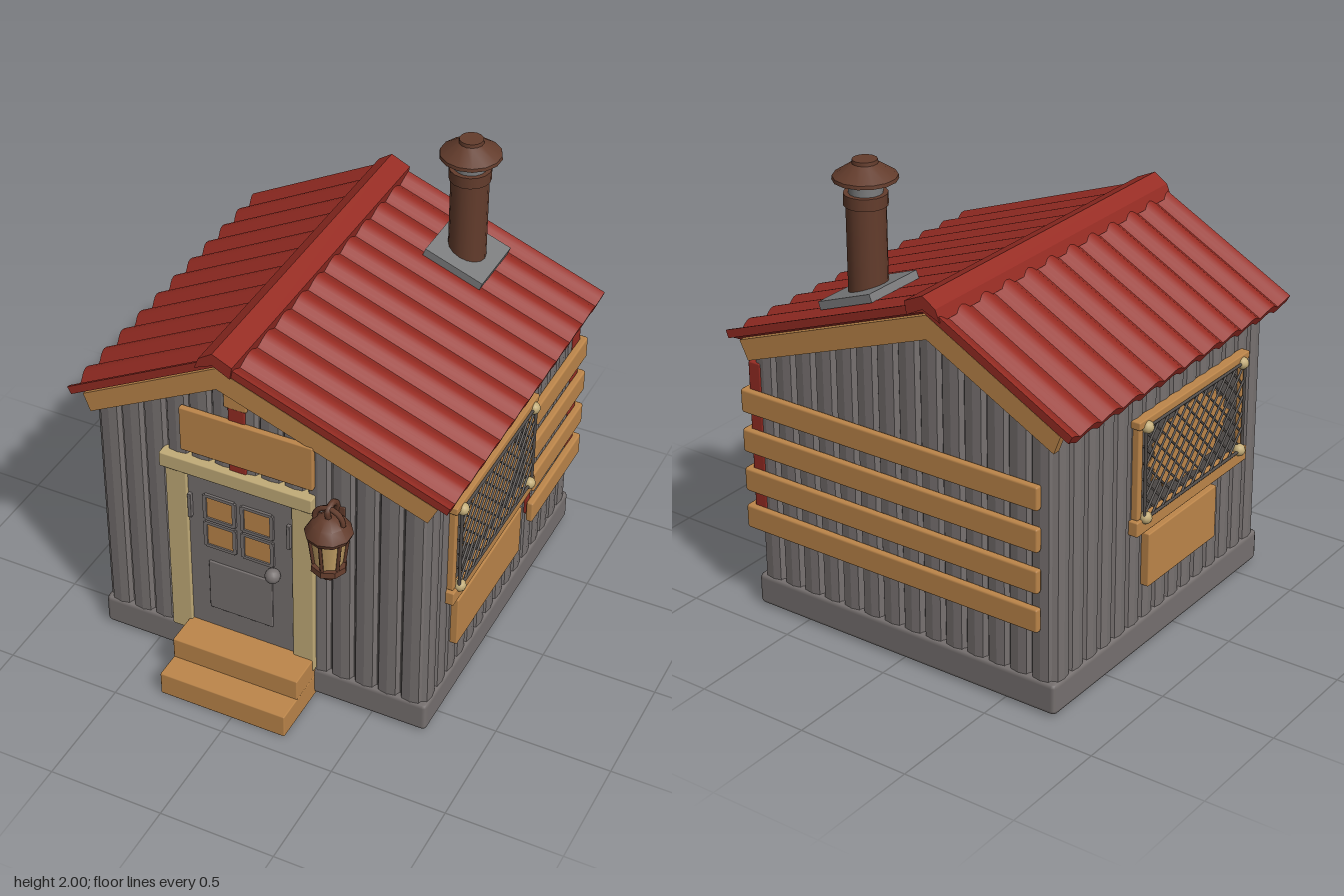
import * as THREE from 'three';
import { toCreasedNormals } from 'three/addons/utils/BufferGeometryUtils.js';
import { RoundedBoxGeometry } from 'three/addons/geometries/RoundedBoxGeometry.js';

const material = (name, color) => Object.assign(new THREE.MeshStandardMaterial({ color }), { name });
const M = {
  grey: material('weatheredGrey', 0x777170),
  red: material('roofRed', 0x962c23),
  wood: material('orangeWood', 0xbd864a),
  tan: material('paleWood', 0xc2ac78),
  rust: material('rustBrown', 0x633c2c),
  steel: material('steelGrey', 0x7c7d7e),
  wire: material('darkWire', 0x55504d),
  lamp: material('lampGlass', 0xc9a468),
};
M.grey.side = THREE.DoubleSide;

const RIDGE = { x: -0.165, y: 1.61 };
const EAVES = { right: { x: 0.83, y: 1.24 }, left: { x: -0.835, y: 1.25 } };
const roofY = (x) => {
  const e = x > RIDGE.x ? EAVES.right : EAVES.left;
  return RIDGE.y + (e.y - RIDGE.y) * (x - RIDGE.x) / (e.x - RIDGE.x);
};

function add(parent, name, geometry, mat, x = 0, y = 0, z = 0) {
  const mesh = new THREE.Mesh(geometry, mat);
  mesh.name = name;
  mesh.position.set(x, y, z);
  parent.add(mesh);
  return mesh;
}

// Box given by its extents, with softly bevelled edges
function block(parent, name, mat, x0, x1, y0, y1, z0, z1, bevel = 0.006) {
  const w = x1 - x0, h = y1 - y0, d = z1 - z0;
  const g = bevel ? new RoundedBoxGeometry(w, h, d, 1, bevel) : new THREE.BoxGeometry(w, h, d);
  return add(parent, name, g, mat, (x0 + x1) / 2, (y0 + y1) / 2, (z0 + z1) / 2);
}

function strut(parent, name, mat, a, b, r) {
  const d = b.clone().sub(a);
  const mesh = add(parent, name, new THREE.CylinderGeometry(r, r, d.length(), 5), mat);
  mesh.position.copy(a).add(b).multiplyScalar(0.5);
  mesh.quaternion.setFromUnitVectors(new THREE.Vector3(0, 1, 0), d.normalize());
  return mesh;
}

const lathe = (pts, n) =>
  toCreasedNormals(new THREE.LatheGeometry(pts.map(([r, y]) => new THREE.Vector2(r, y)), n), 0.6);

const extrude = (pts, depth) => new THREE.ExtrudeGeometry(
  new THREE.Shape(pts.map(([x, y]) => new THREE.Vector2(x, y))), { depth, bevelEnabled: false });

// Corrugated walls: a ribbed plan outline raised to the slope of the roof
function wallGeometry() {
  const corners = [[-0.725, 0.62], [0.725, 0.62], [0.725, -0.855], [-0.725, -0.855]];
  const plan = [];
  corners.forEach(([x0, z0], i) => {
    const [x1, z1] = corners[(i + 1) % 4];
    const len = Math.hypot(x1 - x0, z1 - z0), dx = (x1 - x0) / len, dz = (z1 - z0) / len;
    const ribs = Math.round(len / 0.1);
    for (let k = 0; k < ribs; k++) {
      for (const [t, out] of [[0, -0.008], [0.12, 0.012], [0.5, 0.017], [0.85, 0.012], [0.96, -0.008]]) {
        const s = (k + t) * len / ribs;
        plan.push([x0 + dx * s - dz * out, z0 + dz * s + dx * out]);
      }
    }
  });
  const pos = [];
  plan.forEach(([x, z], i) => {
    const [u, w] = plan[(i + 1) % plan.length];
    const a = roofY(x) - 0.055, b = roofY(u) - 0.055;
    pos.push(x, 0.1, z, u, 0.1, w, u, b, w, x, 0.1, z, u, b, w, x, a, z);
  });
  const g = new THREE.BufferGeometry();
  g.setAttribute('position', new THREE.Float32BufferAttribute(pos, 3));
  g.computeVertexNormals();
  return g;
}

// Corrugated roof sheet, its waves running down the slope
function roofSheet(eave) {
  const z0 = -0.905, z1 = 0.67, steps = 88, waves = 11, top = [], under = [];
  for (let i = 0; i <= steps; i++) {
    const z = z0 + (z1 - z0) * i / steps;
    const wave = 0.032 * Math.pow(Math.abs(Math.cos(Math.PI * waves * i / steps)), 1.4);
    top.push([z, wave - 0.027]);
    under.push([z, wave - 0.062]);
  }
  const ridge = new THREE.Vector3(RIDGE.x, RIDGE.y, 0), end = new THREE.Vector3(eave.x, eave.y, 0);
  const right = eave.x > 0;
  const dir = right ? ridge.clone().sub(end) : end.clone().sub(ridge);
  const length = dir.length();
  dir.normalize();
  const along = new THREE.Vector3(0, 0, 1);
  const normal = dir.clone().cross(along);
  const g = toCreasedNormals(extrude([...under, ...top.reverse()], length), 0.5);
  return g.applyMatrix4(new THREE.Matrix4().makeBasis(along, normal, dir).setPosition(right ? end : ridge));
}

// Netted window, built facing +z around its own centre
function makeWindow() {
  const g = new THREE.Group();
  g.name = 'nettedWindow';
  const w = 0.37, h = 0.2;
  block(g, 'windowBacking', M.wire, -w, w, -h, h, -0.01, 0.004, 0);
  const glow = [];
  for (let i = 0; i < 28; i++) {
    const a = i * Math.PI / 14, r = i % 2 ? 0.88 : 1.03;
    glow.push([0.3 * r * Math.cos(a), 0.175 * r * Math.sin(a)]);
  }
  add(g, 'windowGlow', extrude(glow, 0.004), M.wood, 0, 0, 0.004);
  block(g, 'windowTopRail', M.wood, -0.41, 0.41, 0.2, 0.235, -0.01, 0.035);
  block(g, 'windowSill', M.wood, -0.415, 0.415, -0.265, -0.2, -0.01, 0.035);
  for (const s of [-1, 1]) {
    block(g, 'windowStile', M.wood, s * 0.385 - 0.016, s * 0.385 + 0.016, -0.2, 0.2, -0.01, 0.025);
    strut(g, 'netEdge', M.wire, new THREE.Vector3(-w, s * h, 0.038), new THREE.Vector3(w, s * h, 0.038), 0.007);
    strut(g, 'netEdge', M.wire, new THREE.Vector3(s * w, -h, 0.038), new THREE.Vector3(s * w, h, 0.038), 0.007);
    for (const t of [-1, 1]) add(g, 'cornerKnob', new THREE.SphereGeometry(0.027, 10, 8), M.tan, s * 0.355, t * 0.198, 0.034);
    // Crossing diagonal wires, clipped to the opening
    for (let c = -0.54; c < 0.55; c += 0.072) {
      const lo = Math.max(-h, s > 0 ? -w - c : c - w), hi = Math.min(h, s > 0 ? w - c : c + w);
      if (hi - lo < 0.03) continue;
      const z = 0.03 + s * 0.005;
      strut(g, 'netWire', M.wire, new THREE.Vector3(c + s * lo, lo, z), new THREE.Vector3(c + s * hi, hi, z), 0.005);
    }
  }
  return g;
}

function makeDoor() {
  const g = new THREE.Group();
  g.name = 'door';
  block(g, 'doorLeaf', M.grey, -0.325, 0.16, 0.15, 1.01, 0.61, 0.645);
  block(g, 'doorPanel', M.grey, -0.23, 0.06, 0.31, 0.56, 0.64, 0.653, 0.004);
  for (const x of [-0.172, -0.003]) for (const y of [0.705, 0.845]) {
    block(g, 'doorPane', M.wood, x - 0.06, x + 0.06, y - 0.053, y + 0.053, 0.642, 0.649, 0);
    for (const s of [-1, 1]) {
      block(g, 'paneTrim', M.grey, x + s * 0.066 - 0.008, x + s * 0.066 + 0.008, y - 0.06, y + 0.06, 0.64, 0.656, 0);
      block(g, 'paneTrim', M.grey, x - 0.066, x + 0.066, y + s * 0.059 - 0.007, y + s * 0.059 + 0.007, 0.64, 0.656, 0);
    }
  }
  for (const x of [-0.305, 0.14]) block(g, 'doorBracket', M.grey, x - 0.008, x + 0.008, 0.77, 0.89, 0.64, 0.662, 0.003);
  add(g, 'doorKnob', new THREE.SphereGeometry(0.033, 14, 10), M.grey, 0.072, 0.61, 0.668);
  block(g, 'leftJamb', M.tan, -0.41, -0.315, 0.15, 1.01, 0.61, 0.66);
  block(g, 'rightJamb', M.tan, 0.155, 0.25, 0.15, 1.01, 0.61, 0.66);
  block(g, 'lintel', M.tan, -0.43, 0.25, 1.0, 1.07, 0.61, 0.672);
  return g;
}

function makeLantern() {
  const g = new THREE.Group();
  g.name = 'lantern';
  add(g, 'lanternBase', lathe([[0, 0.75], [0.03, 0.755], [0.045, 0.78], [0.075, 0.8], [0.072, 0.825], [0, 0.825]], 8), M.rust);
  add(g, 'lanternGlass', new THREE.CylinderGeometry(0.075, 0.057, 0.16, 6), M.lamp, 0, 0.9, 0);
  add(g, 'lanternCap', lathe([[0, 0.965], [0.09, 0.965], [0.098, 0.985], [0.07, 1.03], [0.035, 1.055], [0, 1.06]], 10), M.rust);
  for (let i = 0; i < 6; i++) {
    const a = i * Math.PI / 3, p = (r, y) => new THREE.Vector3(r * Math.sin(a), y, r * Math.cos(a));
    strut(g, 'lanternBar', M.rust, p(0.06, 0.815), p(0.08, 0.98), 0.008);
  }
  const hook = new THREE.CatmullRomCurve3([[0, 1.0, -0.085], [0, 1.07, -0.07], [0, 1.105, -0.03], [0, 1.09, 0.01], [0, 1.04, 0]]
    .map((p) => new THREE.Vector3(...p)));
  add(g, 'lanternHook', new THREE.TubeGeometry(hook, 14, 0.014, 6), M.rust);
  add(g, 'lanternRing', new THREE.TorusGeometry(0.062, 0.012, 6, 14, Math.PI), M.rust, 0, 1.035, 0);
  block(g, 'lanternMount', M.rust, -0.035, 0.035, 0.93, 1.06, -0.1, -0.07);
  g.position.set(0.345, 0, 0.71);
  return g;
}

function makeChimney() {
  const g = new THREE.Group();
  g.name = 'chimney';
  add(g, 'chimneyPipe', new THREE.CylinderGeometry(0.08, 0.08, 0.5, 16), M.rust, 0, 1.6, 0);
  add(g, 'chimneyBand', new THREE.CylinderGeometry(0.088, 0.088, 0.05, 16), M.rust, 0, 1.84, 0);
  add(g, 'chimneyNeck', new THREE.CylinderGeometry(0.068, 0.068, 0.07, 16), M.steel, 0, 1.885, 0);
  add(g, 'chimneyCap', lathe([[0, 1.9], [0.07, 1.9], [0.13, 1.92], [0.128, 1.935], [0.052, 1.985], [0.05, 2], [0, 2]], 14), M.rust);
  const plate = add(g, 'chimneyFlashing', new THREE.BoxGeometry(0.275, 0.035, 0.295), M.steel, 0, 1.455, 0);
  plate.rotation.z = -Math.atan(0.372);
  g.position.set(0.31, 0, -0.64);
  return g;
}

export function createModel() {
  const model = new THREE.Group();
  model.name = 'cabin';

  block(model, 'foundation', M.grey, -0.748, 0.748, 0.01, 0.15, -0.88, 0.642, 0.02);
  add(model, 'corrugatedWalls', wallGeometry(), M.grey);
  block(model, 'lowerStep', M.wood, -0.33, 0.245, 0, 0.11, 0.62, 0.915);
  block(model, 'upperStep', M.wood, -0.33, 0.245, 0.105, 0.208, 0.62, 0.8);
  model.add(makeDoor(), makeLantern(), makeChimney());

  // Gable board on its post
  block(model, 'gablePost', M.red, -0.125, -0.05, 1.06, 1.39, 0.62, 0.645);
  block(model, 'gableBoard', M.wood, -0.335, 0.25, 1.11, 1.32, 0.635, 0.662);
  block(model, 'gableBlock', M.wood, -0.14, -0.04, 1.38, 1.47, 0.62, 0.65);

  // Roof sheets, ridge cap and barge boards
  add(model, 'rightRoof', roofSheet(EAVES.right), M.red);
  add(model, 'leftRoof', roofSheet(EAVES.left), M.red);
  const cap = [[-0.245, 1.555], [-0.165, 1.59], [-0.09, 1.55], [-0.08, 1.605], [-0.165, 1.645], [-0.225, 1.605]];
  add(model, 'ridgeCap', extrude(cap, 1.59), M.red, 0, 0, -0.91);
  const barge = [[-0.775, -0.05], [-0.745, -0.145], [RIDGE.x, -0.15], [0.735, -0.145], [0.775, -0.05], [RIDGE.x, -0.05]]
    .map(([x, drop]) => [x, roofY(x) + drop]);
  for (const z of [0.62, -0.89]) add(model, 'bargeBoard', extrude(barge, 0.035), M.wood, 0, 0, z);

  // Side windows with a board below each
  for (const s of [-1, 1]) {
    const win = makeWindow();
    win.rotation.y = s * Math.PI / 2;
    win.position.set(s * 0.742, 0.835, 0.055);
    model.add(win);
    const x = s * 0.75;
    block(model, 'sideBoard', M.wood, x - 0.02, x + 0.02, 0.3, 0.54, s > 0 ? -0.25 : -0.26, s > 0 ? 0.4 : 0.25);
  }

  // Planks wrapping the back corner, over a red post
  block(model, 'cornerPost', M.red, 0.69, 0.75, 0.36, 1.12, -0.875, -0.8);
  block(model, 'plankBatten', M.red, 0.73, 0.748, 0.4, 1.0, -0.4, -0.37);
  for (const y of [0.422, 0.592, 0.77, 0.948]) {
    block(model, 'sidePlank', M.wood, 0.745, 0.778, y - 0.052, y + 0.052, -0.9, -0.36, 0.01);
    block(model, 'backPlank', M.wood, -0.68, 0.775, y - 0.052, y + 0.052, -0.902, -0.87, 0.01);
  }
  return model;
}
